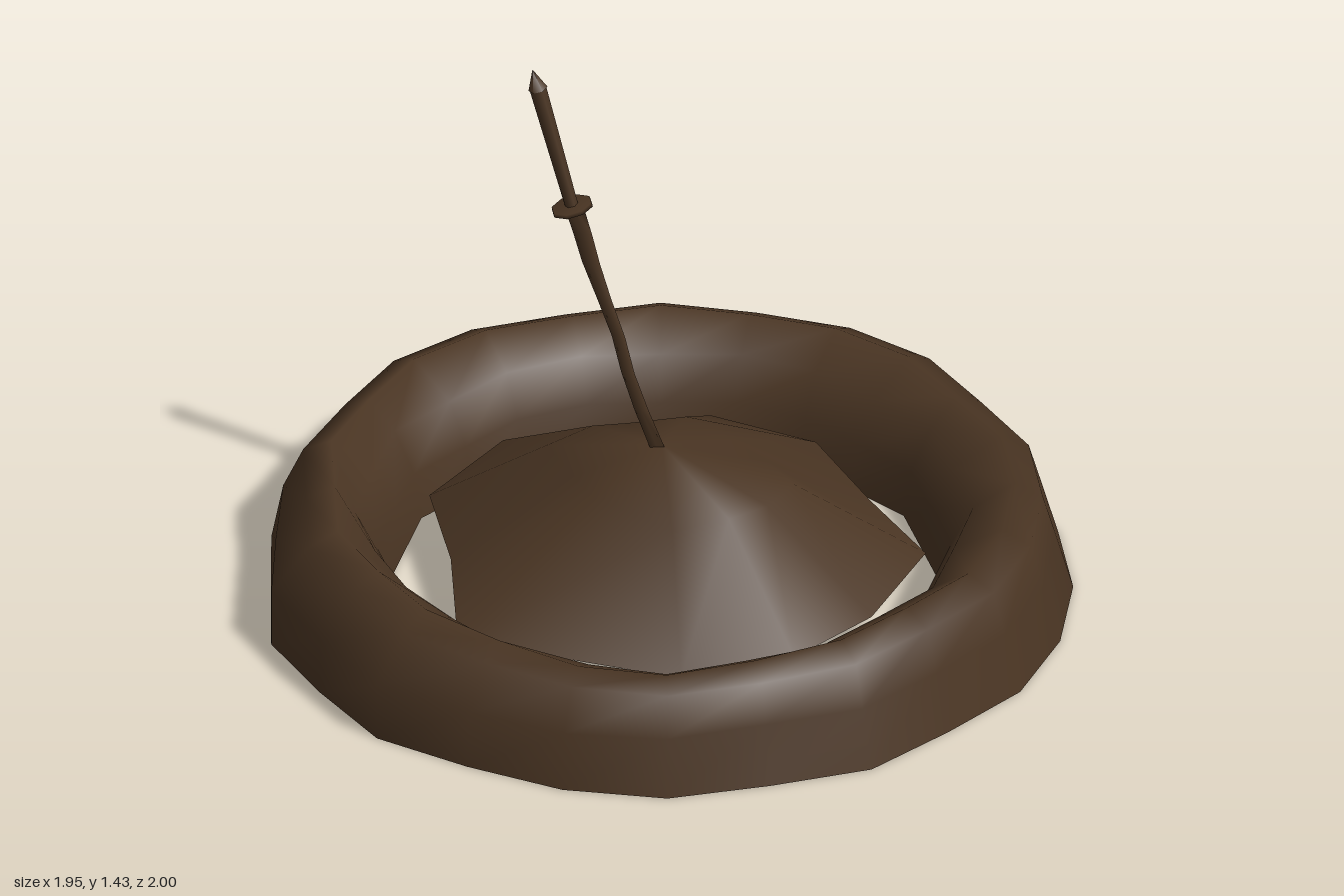
import * as THREE from 'three';
import { mergeVertices } from 'three/addons/utils/BufferGeometryUtils.js';

const brown = new THREE.MeshStandardMaterial({ color: 0x4a3523, side: THREE.DoubleSide });
brown.name = 'dark brown';

// Smooth surface through rows of points; optional closing of rows and columns
function loft(rows, closeRows, closeCols) {
  const n = rows.length, m = rows[0].length, index = [];
  for (let i = 0; i < (closeRows ? n : n - 1); i++) {
    for (let j = 0; j < (closeCols ? m : m - 1); j++) {
      const k = (i + 1) % n, l = (j + 1) % m;
      const a = i * m + j, b = i * m + l, c = k * m + l, d = k * m + j;
      index.push(a, b, c, a, c, d);
    }
  }
  let g = new THREE.BufferGeometry();
  g.setAttribute('position', new THREE.Float32BufferAttribute(rows.flat(2), 3));
  g.setIndex(index);
  g = mergeVertices(g, 1e-5);
  g.computeVertexNormals();
  return g;
}

function add(group, name, geometry) {
  const mesh = new THREE.Mesh(geometry, brown);
  mesh.name = name;
  group.add(mesh);
  return mesh;
}

export function createModel() {
  const model = new THREE.Group();
  model.name = 'swordInMound';

  // Rough ring: radii every 15 degrees, from +x towards +z
  const outer = [0.97, 1, 1, 1, 1, 0.975, 1, 0.975, 1, 0.99, 0.975, 1,
    0.975, 0.995, 0.96, 0.99, 0.967, 1, 1, 0.975, 1, 0.98, 1, 1];
  const inner = outer.map((r, i) => (i % 2 ? 0.657 : 0.68));
  inner[12] = 0.655;
  inner[19] = 0.68;
  inner[20] = 0.663;
  inner[21] = 0.685;
  const sunk = { 7: 0.02, 8: 0.035, 9: 0.035, 10: 0.02 };                             // sagging crest
  const slump = { 8: 0.3, 9: 0.6, 10: 0.8, 11: 1, 12: 1, 13: 1, 14: 0.7, 15: 0.3 }; // bulging side
  const wall = [], base = [];
  outer.forEach((r, i) => {
    const a = i * Math.PI / 12, s = slump[i] ?? 0, drop = sunk[i] ?? 0, q = inner[i];
    const at = (rad, y) => [rad * Math.cos(a), y, rad * Math.sin(a)];
    wall.push([
      at(q, 0), at(q + 0.02, 0.12), at(q + 0.075, 0.225 - drop / 2),
      at(r * (0.855 - 0.025 * s), 0.295 - drop),
      at(r * (0.925 - 0.02 * s), 0.26 - drop / 2),
      at(r * (0.957 + 0.043 * s), 0.15), at(r, 0),
    ]);
    base.push([at(r, 0), at(q, 0)]);
  });
  add(model, 'ringWall', loft(wall, true, false));
  add(model, 'ringBase', loft(base, true, false));

  // Mound shell: edge x, edge z, edge height, shoulder fraction, shoulder height
  const edge = [
    [-0.62, 0.06, 0.07, 0.34, 0.335], [-0.24, 0.49, 0.07, 0.5, 0.325],
    [0.04, 0.56, 0.08, 0.5, 0.335], [0.3, 0.49, 0.08, 0.5, 0.315],
    [0.56, 0.31, 0.09, 0.5, 0.29], [0.545, 0.07, 0.12, 0.5, 0.295],
    [0.555, -0.21, 0.14, 0.45, 0.3], [0.39, -0.435, 0.15, 0.47, 0.328],
    [0.08, -0.48, 0.14, 0.5, 0.335], [-0.09, -0.62, 0.13, 0.44, 0.335],
    [-0.37, -0.5, 0.12, 0.5, 0.335], [-0.48, -0.21, 0.12, 0.42, 0.335],
  ];
  const mound = edge.map(([x, z, y, f, top]) =>
    [[0, 0.405, -0.01], [x * f, top, z * f], [x, y, z]]).reverse();
  add(model, 'mound', loft(mound, true, false));

  // Sword leaning back along the diagonal: blade is a thin wavy strip
  const sword = new THREE.Group();
  sword.name = 'sword';
  const blade = [[0.09, 0.04, 0.006], [0.04, 0.2, 0.013], [-0.012, 0.4, 0.014], [-0.04, 0.5, 0.013],
    [-0.064, 0.6, 0.012], [-0.081, 0.7, 0.012], [-0.106, 0.8, 0.013], [-0.13, 0.9, 0.016],
    [-0.145, 0.98, 0.017], [-0.16, 1.05, 0.018]]
    .map(([d, y, w]) => {
      const t = 0.001;
      return [[d - w, y, d - w], [d + t, y, d - t], [d + w, y, d + w], [d - t, y, d + t]];
    });
  add(sword, 'blade', loft(blade, false, true));

  // Guard, grip and pommel share the tilted axis of the hilt
  const foot = new THREE.Vector3(-0.162, 1.04, -0.16);
  const head = new THREE.Vector3(-0.236, 1.43, -0.232);
  const hilt = new THREE.Group();
  hilt.name = 'hilt';
  hilt.position.copy(foot);
  hilt.quaternion.setFromUnitVectors(new THREE.Vector3(0, 1, 0), head.clone().sub(foot).normalize());
  add(hilt, 'grip', new THREE.CylinderGeometry(0.021, 0.016, 0.35, 6)).position.y = 0.175;
  const guard = [[0, -0.006], [0.03, -0.01], [0.053, 0], [0.052, 0.01], [0, 0.012]];
  add(hilt, 'guard', new THREE.LatheGeometry(guard.map(([x, y]) => new THREE.Vector2(x, y)), 8))
    .position.y = 0.008;
  add(hilt, 'pommel', new THREE.ConeGeometry(0.024, 0.055, 6)).position.y = 0.375;
  sword.add(hilt);
  model.add(sword);

  return model;
}
